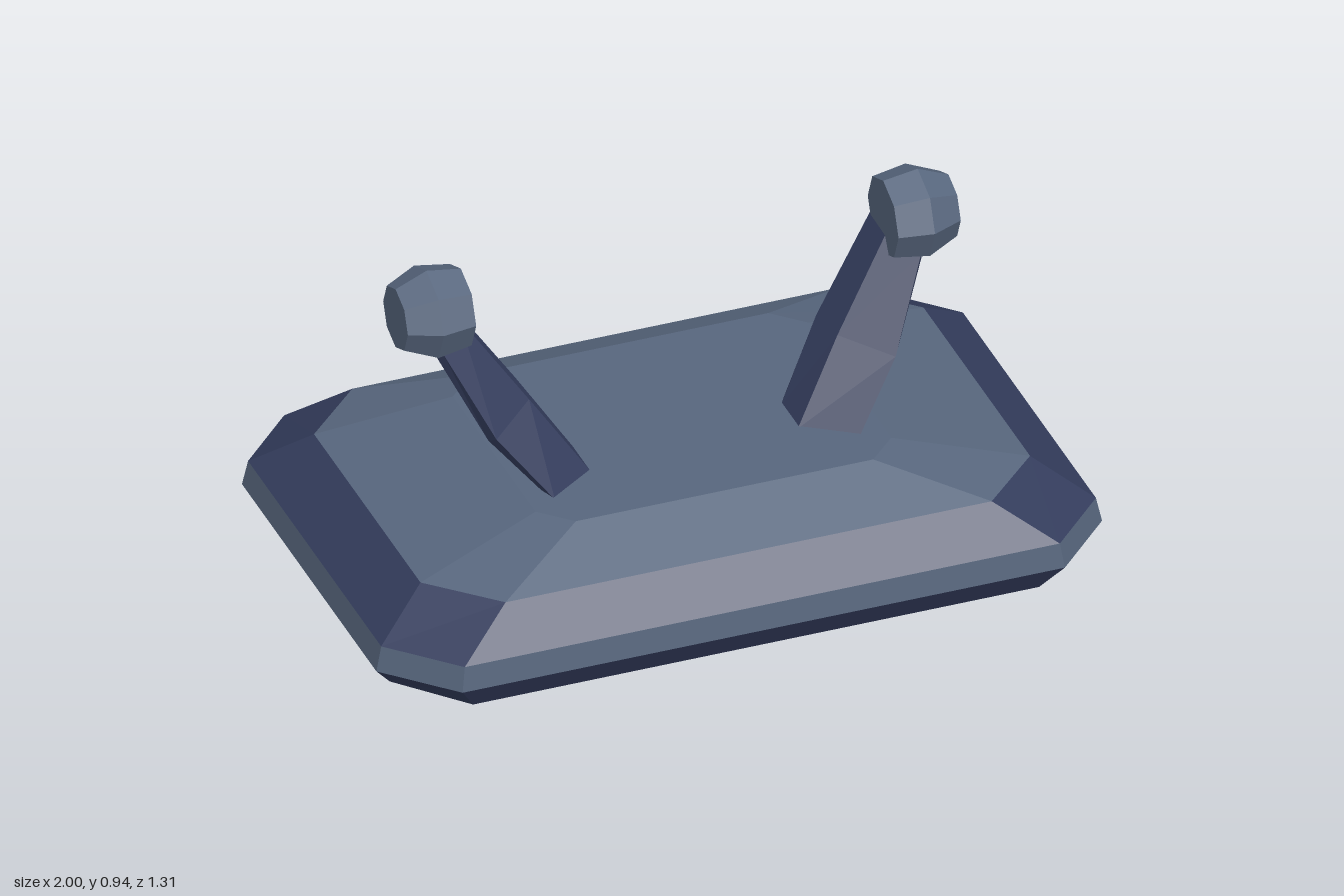
import * as THREE from 'three';

const flat = (name, color) => {
  const m = new THREE.MeshStandardMaterial({ color, flatShading: true });
  m.name = name;
  return m;
};

// Rings are lists of [x, y, z], counter-clockwise seen from above, lowest first.
function loft(rings, { edges, bottom = false, top = false } = {}) {
  const pos = [];
  const n = rings[0].length;
  const tri = (a, b, c) => pos.push(...a, ...b, ...c);
  for (let r = 0; r + 1 < rings.length; r++) {
    for (let i = 0; i < n; i++) {
      if (edges && !edges.includes(i)) continue;
      const j = (i + 1) % n, lo = rings[r], hi = rings[r + 1];
      tri(lo[i], lo[j], hi[j]);
      tri(lo[i], hi[j], hi[i]);
    }
  }
  const last = rings[rings.length - 1];
  for (let i = 1; i + 1 < n; i++) {
    if (bottom) tri(rings[0][0], rings[0][i + 1], rings[0][i]);
    if (top) tri(last[0], last[i], last[i + 1]);
  }
  const g = new THREE.BufferGeometry();
  g.setAttribute('position', new THREE.Float32BufferAttribute(pos, 3));
  g.computeVertexNormals();
  return g;
}

// Rectangle with cut corners: half sizes hx, hz; the cut starts at cx, cz.
const cutRect = (y, hx, hz, cx, cz) => [
  [hx, y, cz], [hx, y, -cz], [cx, y, -hz], [-cx, y, -hz],
  [-hx, y, -cz], [-hx, y, cz], [-cx, y, hz], [cx, y, hz],
];

export function createModel() {
  const slate = flat('slate', 0x57667d);
  const navy = flat('navy', 0x333c5c);
  const brown = flat('brown', 0xa87050);

  const model = new THREE.Group();
  model.name = 'model';
  const add = (name, geometry, material, parent = model) => {
    const mesh = new THREE.Mesh(geometry, material);
    mesh.name = name;
    parent.add(mesh);
    return mesh;
  };

  // Body: five stacked outlines, coloured band by band
  const body = new THREE.Group();
  body.name = 'body';
  model.add(body);
  const rings = [
    cutRect(0, 0.94, 0.6, 0.78, 0.42),
    cutRect(0.08, 1.0, 0.655, 0.83, 0.48),
    cutRect(0.15, 0.985, 0.645, 0.82, 0.475),
    cutRect(0.255, 0.84, 0.547, 0.67, 0.38),
    cutRect(0.34, 0.49, 0.375, 0.41, 0.295),
  ];
  add('underside', loft(rings.slice(0, 2), { bottom: true }), navy, body);
  add('rimBand', loft(rings.slice(1, 3)), slate, body);
  add('shoulder', loft(rings.slice(2, 4)), navy, body);
  add('topShell', loft(rings.slice(3), { top: true }), slate, body);

  // Bent stalk: five-sided sections at foot, bend and tip
  const stalk = [
    [[0.285, 0.335, 0.16], [0.42, 0.335, 0.252], [0.435, 0.335, 0.206], [0.3, 0.335, 0.015], [0.285, 0.335, 0.04]],
    [[0.425, 0.54, 0.08], [0.55, 0.5, 0.172], [0.56, 0.48, 0.14], [0.43, 0.53, -0.062], [0.415, 0.53, -0.045]],
    [[0.59, 0.78, 0.01], [0.66, 0.73, 0.07], [0.67, 0.71, 0.05], [0.6, 0.77, -0.12], [0.588, 0.78, -0.1]],
  ];

  for (const side of [1, -1]) {
    const eyestalk = new THREE.Group();
    eyestalk.name = side > 0 ? 'leftEyestalk' : 'rightEyestalk';
    model.add(eyestalk);

    // Mirroring flips the winding, so the section is reversed
    const sections = stalk.map((ring) => {
      const r = ring.map(([x, y, z]) => [side * x, y, z]);
      return side > 0 ? r : r.reverse();
    });
    const outer = side > 0 ? 2 : 1;
    const rest = [0, 1, 2, 3, 4].filter((i) => i !== outer);
    add('stalk', loft(sections, { edges: rest, top: true, bottom: true }), navy, eyestalk);
    add('stalkOuterFace', loft(sections, { edges: [outer] }), brown, eyestalk);

    // Eight-sided barrel eye, lying along x
    const profile = [[0, -0.09], [0.11, -0.09], [0.125, 0.005], [0.088, 0.09], [0, 0.09]];
    const eye = add('eye', new THREE.LatheGeometry(profile.map(([r, h]) => new THREE.Vector2(r, h)), 8), slate, eyestalk);
    eye.position.set(side * 0.672, 0.817, 0);
    eye.rotation.z = -side * Math.PI / 2;
  }
  return model;
}
